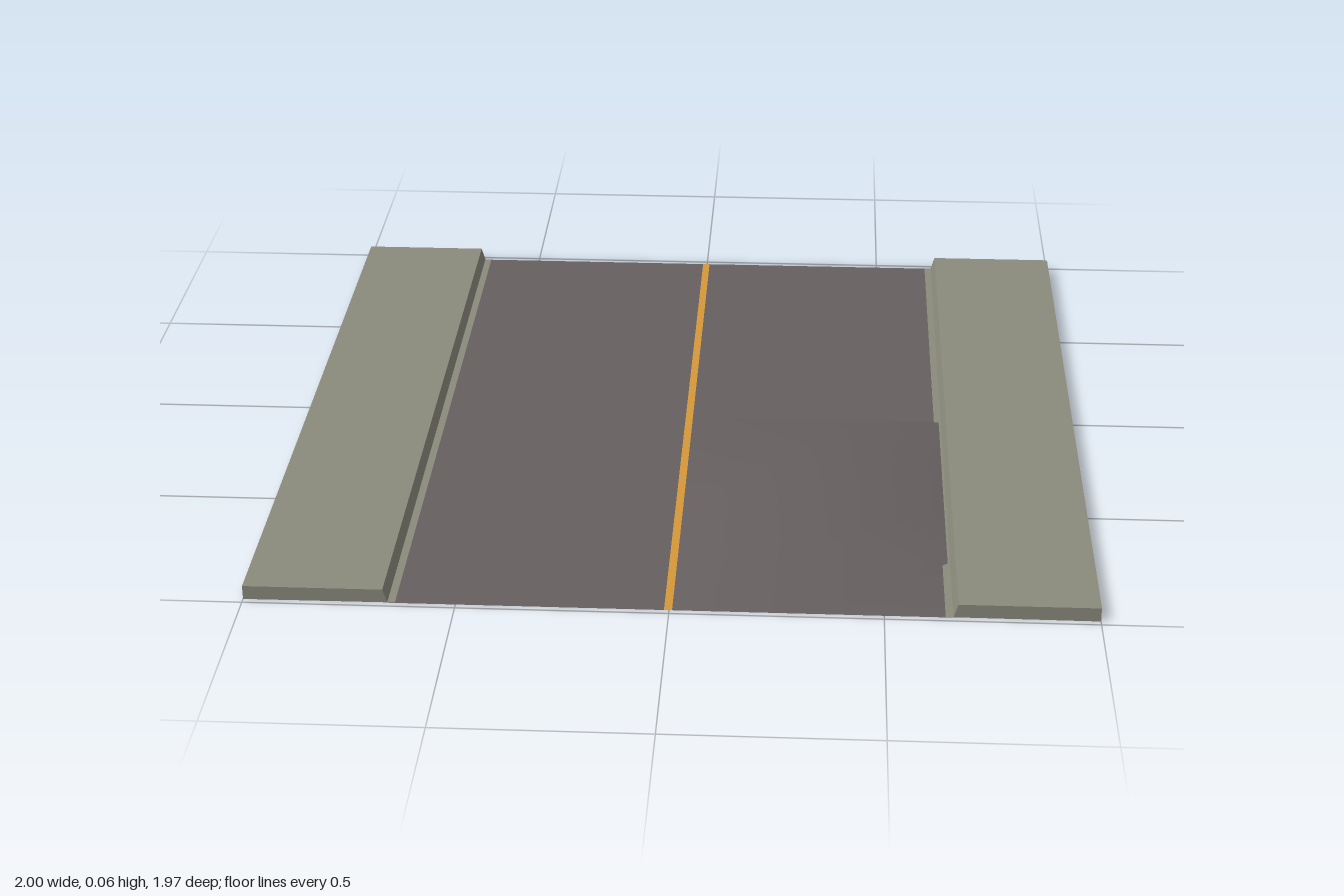
import * as THREE from 'three';

const HALF = 0.985;   // half length of the road
const CURB = 0.66;    // half width of the roadway
const LINE = [-0.012, 0.007];

const makeMaterial = (name, color) => {
  const m = new THREE.MeshStandardMaterial({ color, side: THREE.DoubleSide });
  m.name = name;
  return m;
};

// Surface over a grid of x and z stations, raised by a height rule
function sheet(xs, zs, height = () => 0) {
  const pos = [], index = [];
  zs.forEach(z => xs.forEach(x => pos.push(x, height(x, z), z)));
  const n = xs.length;
  for (let j = 0; j < zs.length - 1; j++) {
    for (let i = 0; i < n - 1; i++) {
      const a = j * n + i, b = a + 1, c = a + n, d = c + 1;
      index.push(a, c, b, b, c, d);
    }
  }
  const geo = new THREE.BufferGeometry();
  geo.setAttribute('position', new THREE.Float32BufferAttribute(pos, 3));
  geo.setIndex(index);
  geo.computeVertexNormals();
  return geo;
}

// Hollow pavement slab, open underneath, with a sloped kerb and narrow gutter
function slab(side, z0, z1) {
  const profile = [[1, 0], [1, 0.035], [0.67, 0.035], [CURB, 0.001], [0.642, 0.001]];
  const pos = [];
  const quad = (a, b, c, d) => {
    const order = side > 0 ? [a, b, c, a, c, d] : [a, c, b, a, d, c];
    order.forEach(p => pos.push(...p));
  };
  const at = (i, z) => [side * profile[i][0], profile[i][1], z];
  for (let i = 0; i < profile.length - 1; i++) {
    quad(at(i, z1), at(i, z0), at(i + 1, z0), at(i + 1, z1));
  }
  quad(at(0, z1), at(1, z1), at(2, z1), at(3, z1));
  quad(at(3, z0), at(2, z0), at(1, z0), at(0, z0));
  const geo = new THREE.BufferGeometry();
  geo.setAttribute('position', new THREE.Float32BufferAttribute(pos, 3));
  geo.computeVertexNormals();
  return geo;
}

export function createModel() {
  const model = new THREE.Group();
  model.name = 'roadSection';
  const asphalt = makeMaterial('asphalt', 0x665f5f);
  const concrete = makeMaterial('concrete', 0x8a8a7c);
  const paint = makeMaterial('linePaint', 0xd6983a);

  const add = (name, geo, mat) => {
    const mesh = new THREE.Mesh(geo, mat);
    mesh.name = name;
    model.add(mesh);
  };

  // Flat lanes
  add('rightLane', sheet([-CURB, LINE[0]], [-HALF, 0, HALF]), asphalt);
  add('leftLaneBack', sheet([LINE[1], CURB], [-HALF, 0]), asphalt);

  // Raised bump in the front half of the left lane
  const bump = (x, z) => (Math.abs(x - 0.33) < 0.01 && z > 0.1 && z < 0.9 ? 0.06 : 0);
  add('leftLaneBump', sheet([LINE[1], 0.33, CURB], [0, 0.246, 0.4925, 0.739, HALF], bump), asphalt);

  // Painted centre line
  add('centreLine', sheet(LINE, [-HALF, HALF]), paint);

  // Two pavement slabs on each side
  for (const side of [-1, 1]) {
    const name = side > 0 ? 'left' : 'right';
    add(name + 'PavementBack', slab(side, -HALF, 0), concrete);
    add(name + 'PavementFront', slab(side, 0, HALF), concrete);
  }
  return model;
}
